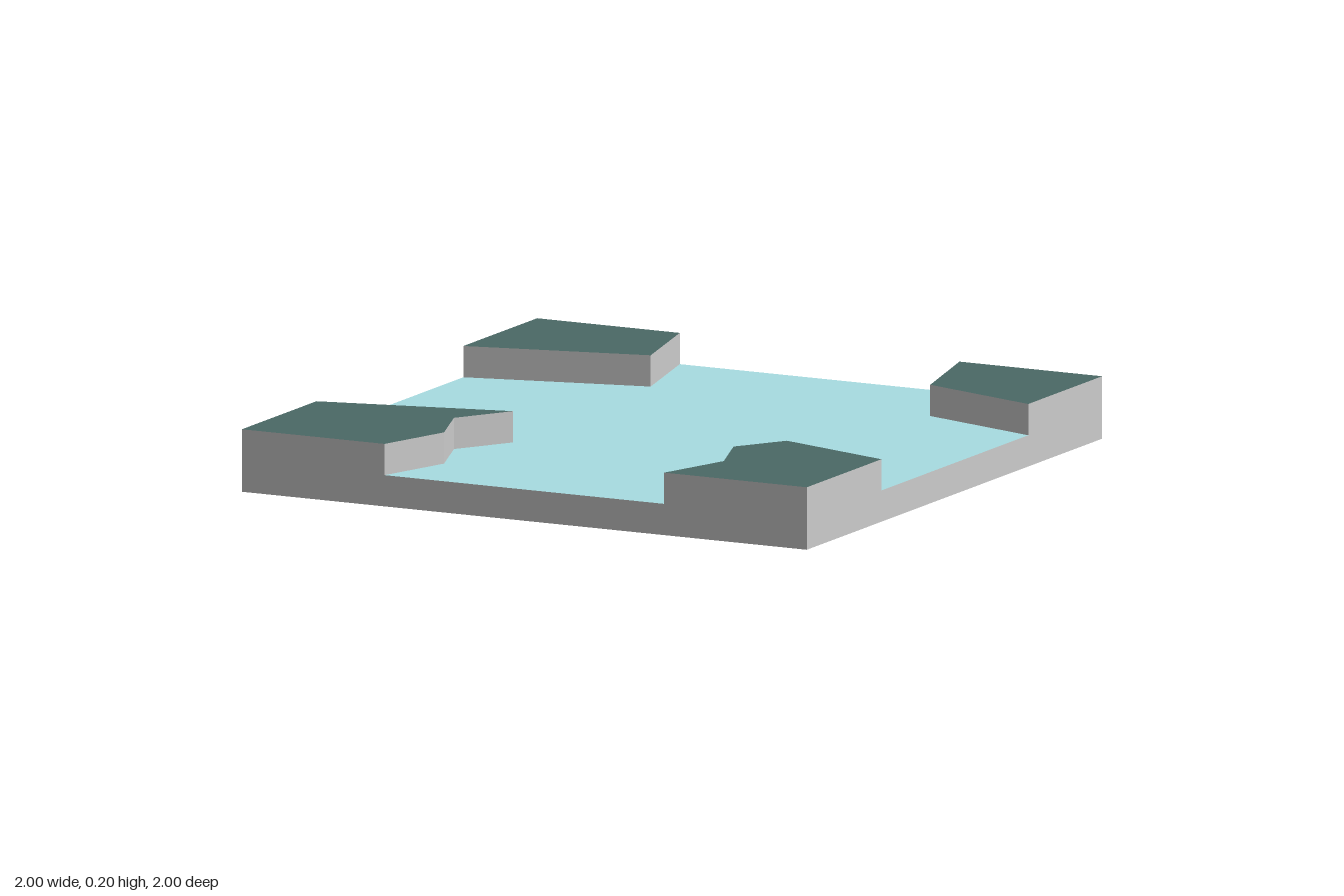
import * as THREE from 'three';

const BASE = 0.1, TOP = 0.2;

export function createModel() {
  const model = new THREE.Group();
  model.name = 'riverCrossingTile';

  const grey = new THREE.MeshStandardMaterial({ color: 0xcccccc, flatShading: true });
  const water = new THREE.MeshStandardMaterial({ color: 0xa8dde2, flatShading: true });
  const grass = new THREE.MeshStandardMaterial({ color: 0x4b6966, flatShading: true });

  // Square slab with a water-coloured top face
  const slab = new THREE.Mesh(
    new THREE.BoxGeometry(2, BASE, 2),
    [grey, grey, water, grey, grey, grey]
  );
  slab.name = 'waterBase';
  slab.position.y = BASE / 2;
  model.add(slab);

  // Raised banks: [x, z] outlines, one in each corner
  const banks = {
    backRightBank: [[-1, -1], [-0.495, -1], [-0.41, -0.64], [-1, -0.5]],
    backLeftBank: [[1, -1], [0.495, -1], [0.585, -0.63], [1, -0.5]],
    frontRightBank: [[-1, 1], [-0.495, 1], [-0.415, 0.75], [-0.495, 0.53], [-0.38, 0.35], [-1, 0.495]],
    frontLeftBank: [[1, 1], [0.495, 1], [0.575, 0.75], [0.495, 0.53], [0.6, 0.37], [1, 0.495]],
  };
  for (const [name, outline] of Object.entries(banks)) {
    const shape = new THREE.Shape(outline.map(([x, z]) => new THREE.Vector2(x, z)));
    const geometry = new THREE.ExtrudeGeometry(shape, { depth: TOP - BASE, bevelEnabled: false });
    geometry.rotateX(Math.PI / 2).translate(0, TOP, 0);
    const bank = new THREE.Mesh(geometry, [grass, grey]);
    bank.name = name;
    model.add(bank);
  }

  return model;
}
